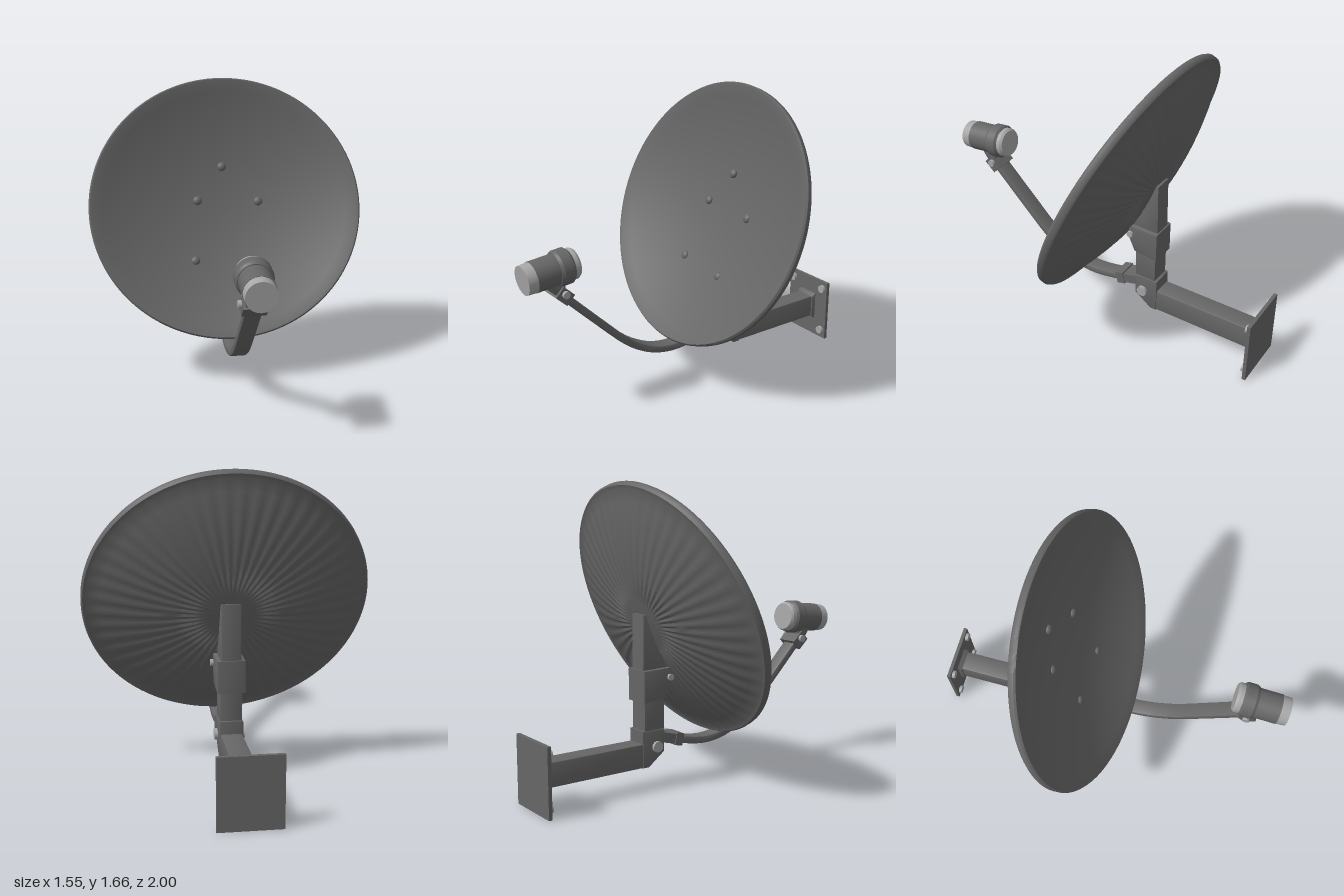
import * as THREE from 'three';
import { toCreasedNormals } from 'three/addons/utils/BufferGeometryUtils.js';

const grey = new THREE.MeshStandardMaterial({ color: 0x666666 });
grey.name = 'dark grey';
const light = new THREE.MeshStandardMaterial({ color: 0xa6a6a6 });
light.name = 'light grey';

export function createModel() {
  const root = new THREE.Group();
  root.name = 'satelliteDish';
  const up = new THREE.Vector3(0, 1, 0);
  const V = (x, y, z) => new THREE.Vector3(x, y, z);

  function add(name, geo, mat = grey, parent = root) {
    const m = new THREE.Mesh(geo, mat);
    m.name = name;
    parent.add(m);
    return m;
  }
  // cylinder between two points
  function rod(name, a, b, r, mat = grey, r2 = r, seg = 32) {
    const m = add(name, new THREE.CylinderGeometry(r2, r, a.distanceTo(b), seg), mat);
    m.position.copy(a).add(b).multiplyScalar(0.5);
    m.quaternion.setFromUnitVectors(up, b.clone().sub(a).normalize());
    return m;
  }
  // side profile given as [z, y], extruded across x
  function slab(name, pts, width, bevel = 0.008) {
    const shape = new THREE.Shape(pts.map(([z, y]) => new THREE.Vector2(z, y)));
    const g = new THREE.ExtrudeGeometry(shape, {
      depth: width - 2 * bevel, bevelThickness: bevel, bevelSize: bevel,
      bevelOffset: -bevel, bevelSegments: 2,
    });
    g.translate(0, 0, -width / 2 + bevel);
    g.rotateY(-Math.PI / 2);
    return add(name, toCreasedNormals(g, 0.55));
  }
  function box(name, w, h, d, x, y, z, rx = 0) {
    const m = add(name, new THREE.BoxGeometry(w, h, d));
    m.position.set(x, y, z);
    m.rotation.x = rx;
    return m;
  }

  // Reflector: ribbed back, rolled rim and smooth bowl in one lathe
  const profile = [];
  for (let i = 0; i <= 12; i++) {
    const r = 0.74 * i / 12;
    profile.push(new THREE.Vector2(r, -0.195 + 0.15 * (r / 0.74) ** 2));
  }
  profile.push(new THREE.Vector2(0.765, -0.045), new THREE.Vector2(0.774, -0.035),
    new THREE.Vector2(0.775, -0.01), new THREE.Vector2(0.767, 0));
  for (let i = 14; i >= 0; i--) {
    const r = 0.752 * i / 14;
    profile.push(new THREE.Vector2(r, -0.155 + 0.152 * (r / 0.752) ** 2));
  }
  const bowl = new THREE.LatheGeometry(profile, 192);
  const p = bowl.attributes.position;
  for (let i = 0; i < p.count; i++) {
    const k = i % profile.length;
    if (k < 3 || k > 11) continue;
    const a = Math.atan2(p.getX(i), p.getZ(i));
    p.setY(i, p.getY(i) + 0.003 * Math.cos(48 * a));
  }
  bowl.scale(1, 1, 0.962);
  const tilt = 1.193;
  const dish = add('reflector', toCreasedNormals(bowl, 0.7));
  dish.position.set(0, 0.97, -0.137);
  dish.rotation.x = tilt;

  // Round-headed bolts on the bowl
  const boltSpots = [[0, 1.155, -0.345], [-0.15, 0.97, -0.29], [0.205, 0.957, -0.28],
    [-0.18, 0.652, -0.14], [0.145, 0.627, -0.13]];
  for (const [x, y, z] of boltSpots) {
    const b = add('dishBolt', new THREE.SphereGeometry(0.026, 20, 12));
    b.scale.y = 0.7;
    b.position.set(x, y, z - 0.006);
    b.rotation.x = tilt;
  }

  // Mast and bracket behind the reflector
  slab('mast', [[-0.225, 0.31], [-0.355, 0.31], [-0.355, 0.52], [-0.225, 0.52]], 0.12);
  slab('mastSleeve', [[-0.225, 0.5], [-0.368, 0.485], [-0.368, 0.66], [-0.19, 0.665], [-0.18, 0.6]], 0.155);
  slab('dishBracket', [[-0.19, 0.64], [-0.36, 0.64], [-0.355, 0.96], [-0.32, 0.96], [-0.22, 0.72]], 0.11);

  // Hinge between mast, wall arm and feed arm
  slab('hinge', [[-0.225, 0.33], [-0.23, 0.2], [-0.33, 0.125], [-0.37, 0.125], [-0.37, 0.33]], 0.13);
  for (const s of [-1, 1]) {
    rod('hingePivot', V(s * 0.06, 0.235, -0.28), V(s * 0.082, 0.235, -0.28), 0.03, light);
    rod('sleeveKnob', V(s * 0.05, 0.612, -0.2), V(s * 0.092, 0.612, -0.2), 0.018, light);
  }

  // Wall arm, flared end and plate
  slab('wallArm', [[-0.34, 0.125], [-0.985, 0.125], [-0.985, 0.26], [-0.34, 0.26]], 0.12, 0.012);
  slab('armFlare', [[-0.955, 0.125], [-0.985, 0.105], [-0.985, 0.28], [-0.955, 0.26]], 0.135, 0.004);
  box('wallPlate', 0.33, 0.375, 0.02, 0, 0.1875, -0.99);
  for (const x of [-0.128, 0.128]) for (const y of [0.05, 0.33]) {
    rod('plateBolt', V(x, y, -0.985), V(x, y, -0.963), 0.024, light);
  }

  // Curved flat feed arm
  const path = new THREE.CatmullRomCurve3([[-0.24, 0.278], [-0.1, 0.24], [0.08, 0.213], [0.22, 0.235],
    [0.34, 0.293], [0.42, 0.352], [0.56, 0.487], [0.79, 0.715]].map(([z, y]) => V(0, y, z)));
  const top = [], bottom = [];
  for (let i = 0; i <= 40; i++) {
    const c = path.getPoint(i / 40), t = path.getTangent(i / 40);
    top.push([c.z - t.y * 0.021, c.y + t.z * 0.021]);
    bottom.unshift([c.z + t.y * 0.021, c.y - t.z * 0.021]);
  }
  slab('feedArm', [...bottom, ...top], 0.09, 0.01);
  box('feedArmSocket', 0.105, 0.055, 0.11, 0, 0.265, -0.19, 0.25);
  box('feedArmCollar', 0.115, 0.07, 0.05, 0, 0.248, -0.12, 0.25);

  // Receiver holder at the arm tip
  box('receiverClamp', 0.125, 0.07, 0.085, 0, 0.715, 0.785, -0.75);
  slab('receiverNeck', [[0.77, 0.7], [0.82, 0.71], [0.875, 0.79], [0.875, 0.84], [0.78, 0.84]], 0.1);
  for (const s of [-1, 1]) {
    rod('clampPivot', V(s * 0.055, 0.727, 0.785), V(s * 0.08, 0.727, 0.785), 0.02, light);
  }

  // Receiver: cap, body, collar and horn along one tilted axis
  const axis = z => V(0, 0.832 + (0.992 - z) * 0.1, z);
  const part = (name, z0, z1, r, mat, r2) => rod(name, axis(z0), axis(z1), r, mat, r2, 40);
  part('receiverCap', 0.992, 0.94, 0.079, light, 0.082);
  part('receiverBody', 0.94, 0.79, 0.084, grey);
  part('receiverCollarEdge', 0.81, 0.795, 0.088, grey, 0.097);
  part('receiverCollar', 0.795, 0.74, 0.097, grey);
  part('receiverCollarTaper', 0.74, 0.728, 0.097, grey, 0.086);
  part('feedHorn', 0.73, 0.705, 0.085, light);
  part('feedHornLip', 0.705, 0.692, 0.085, light, 0.076);

  return root;
}
